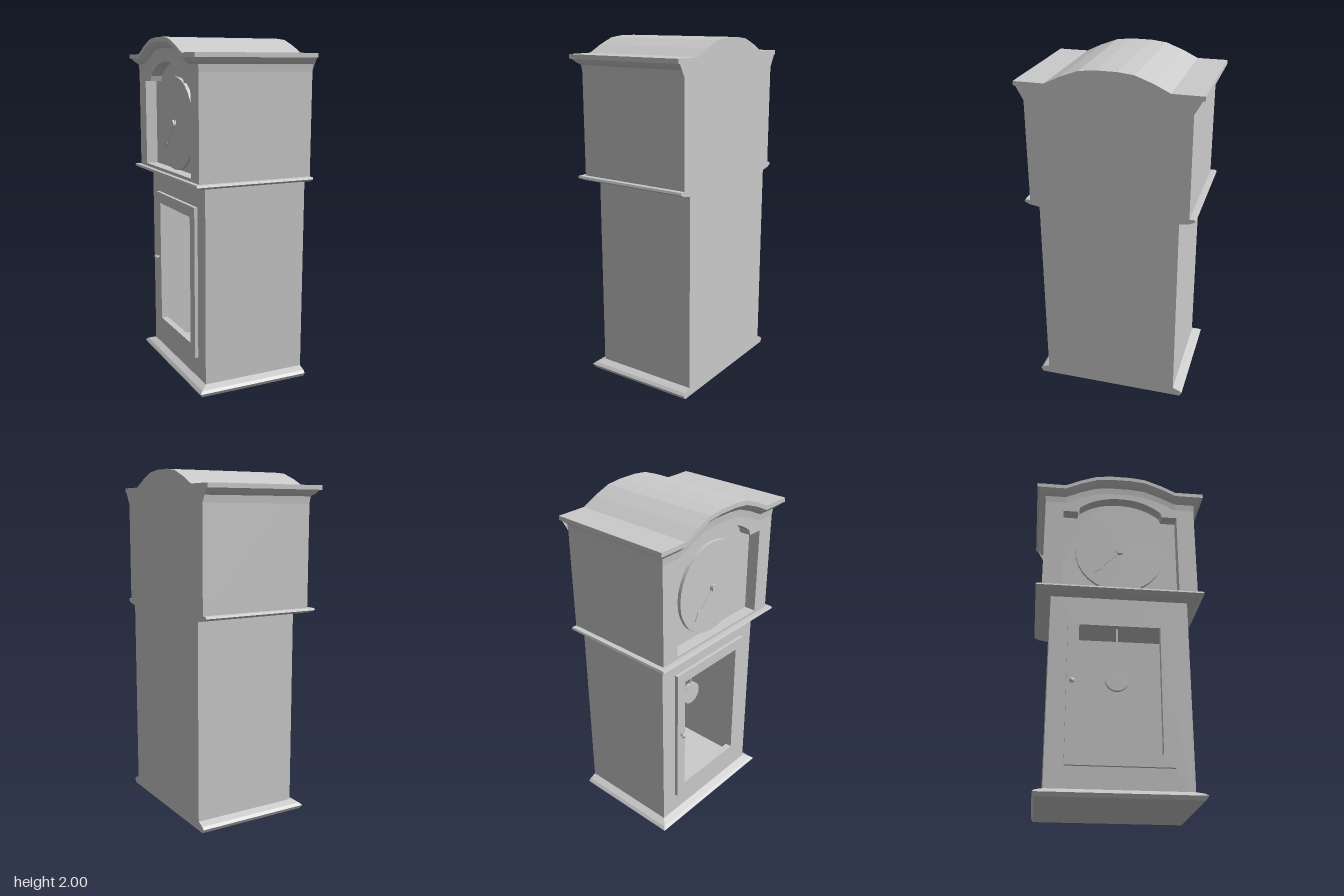
import * as THREE from 'three';

const BACK = -0.365;
const mat = new THREE.MeshStandardMaterial({ color: 0xcccccc });

// Height of the bonnet arch above its shoulders, across the width
const ARCH = [[-0.515, 0], [-0.34, 0], [-0.25, 0.043], [-0.15, 0.08], [-0.06, 0.09],
  [0.06, 0.09], [0.15, 0.08], [0.25, 0.043], [0.34, 0], [0.515, 0]];

function add(group, name, geometry, x = 0, y = 0, z = 0) {
  const mesh = new THREE.Mesh(geometry, mat);
  mesh.name = name;
  mesh.position.set(x, y, z);
  group.add(mesh);
  return mesh;
}

function polygon(points) {
  return new THREE.Shape(points.map(([x, y]) => new THREE.Vector2(x, y)));
}

function rect(hw, y0, y1) {
  return polygon([[-hw, y0], [hw, y0], [hw, y1], [-hw, y1]]);
}

// Extrude a front-on shape between two depths
function slab(shape, z0, z1, hole) {
  if (hole) shape.holes.push(hole);
  return new THREE.ExtrudeGeometry(shape, { depth: z1 - z0, bevelEnabled: false, curveSegments: 24 })
    .translate(0, 0, z0);
}

// Moulding run along both sides and the front; layers are [outward offset, height]
function moulding(hw, front, layers, arched) {
  const inner = arched ? ARCH.slice(1, -1) : [];
  const n = inner.length + 4;
  const pos = [], idx = [];
  for (const [o, y] of layers) {
    pos.push(-hw - o, y, BACK, -hw - o, y, front + o);
    for (const [x, lift] of inner) pos.push(x, y + lift, front + o);
    pos.push(hw + o, y, front + o, hw + o, y, BACK);
  }
  for (let j = 0; j < layers.length - 1; j++) {
    for (let i = 0; i < n - 1; i++) {
      const a = j * n + i, d = a + n;
      idx.push(a, a + 1, d + 1, a, d + 1, d);
    }
    // Flat ends against the back
    if (j > 0) idx.push(0, j * n, (j + 1) * n, n - 1, (j + 2) * n - 1, (j + 1) * n - 1);
  }
  const g = new THREE.BufferGeometry();
  g.setAttribute('position', new THREE.Float32BufferAttribute(pos, 3));
  g.setIndex(idx);
  const flat = g.toNonIndexed();
  flat.computeVertexNormals();
  return flat;
}

function disc(r, depth, sides = 32) {
  return new THREE.CylinderGeometry(r, r, depth, sides).rotateX(Math.PI / 2);
}

function buildTrunk() {
  const g = new THREE.Group();
  g.name = 'trunk';
  const wall = 0.02, hw = 0.405, front = 0.265, depth = front - BACK;
  for (const s of [-1, 1]) {
    add(g, 'trunkSide', new THREE.BoxGeometry(wall, 1.2, depth), s * (hw - wall / 2), 0.6, (front + BACK) / 2);
  }
  add(g, 'trunkBack', slab(rect(hw - wall, 0, 1.2), BACK, BACK + wall));
  add(g, 'trunkFloor', new THREE.BoxGeometry(2 * hw, 0.05, depth), 0, 0.025, (front + BACK) / 2);
  add(g, 'trunkFront', slab(rect(hw - wall, 0.04, 1.2), front - wall, front, rect(0.235, 0.245, 1.0)));
  add(g, 'plinthMoulding', moulding(hw, front,
    [[0, 0], [0.042, 0], [0.055, 0.022], [0.04, 0.036], [0, 0.052]]));
  add(g, 'waistMoulding', moulding(hw, front,
    [[0, 1.185], [0.06, 1.195], [0.09, 1.21], [0.085, 1.222], [0, 1.222]]));

  // Open door frame and its knob
  add(g, 'doorFrame', slab(rect(0.3, 0.175, 1.065), front, front + 0.02, rect(0.235, 0.245, 1.0)));
  const knob = new THREE.LatheGeometry([[0, 0], [0.007, 0], [0.007, 0.013], [0.015, 0.018], [0.014, 0.028], [0, 0.031]]
    .map(([r, y]) => new THREE.Vector2(r, y)), 16).rotateX(Math.PI / 2);
  add(g, 'doorKnob', knob, -0.27, 0.645, front + 0.02);

  // Pendulum hanging inside
  add(g, 'pendulumRod', new THREE.BoxGeometry(0.012, 0.48, 0.008), 0, 0.97, 0.125);
  add(g, 'pendulumBob', disc(0.07, 0.02), 0, 0.73, 0.125);
  return g;
}

function buildHood() {
  const g = new THREE.Group();
  g.name = 'hood';
  const hw = 0.46, front = 0.325, recess = 0.07;
  const bodyShape = () => polygon([[-hw, 1.2], [hw, 1.2], [hw, 1.89],
    ...ARCH.slice(1, -1).reverse().map(([x, l]) => [x, 1.89 + l]), [-hw, 1.89]]);

  // Case behind the dial, and front frame with a shouldered arch opening
  add(g, 'hoodCase', slab(bodyShape(), BACK, front - recess));
  const opening = new THREE.Path();
  opening.moveTo(-0.35, 1.24);
  opening.lineTo(0.35, 1.24);
  opening.lineTo(0.35, 1.75);
  opening.lineTo(0.26, 1.75);
  opening.lineTo(0.25, 1.78);
  opening.quadraticCurveTo(0.15, 1.865, 0, 1.865);
  opening.quadraticCurveTo(-0.15, 1.865, -0.25, 1.78);
  opening.lineTo(-0.26, 1.75);
  opening.lineTo(-0.35, 1.75);
  opening.closePath();
  add(g, 'hoodFrame', slab(bodyShape(), front - recess, front, opening));

  // Cove and arched roof
  add(g, 'corniceCove', moulding(hw, front,
    [[0, 1.81], [0.004, 1.85], [0.022, 1.864], [0.045, 1.89], [0, 1.89]], true));
  const top = ARCH.map(([x, l]) => [x, 1.91 + l]);
  const under = ARCH.map(([x, l]) => [x, 1.885 + l]);
  add(g, 'roof', slab(polygon([...under, ...top.reverse()]), BACK, 0.37));

  // Dial and hands
  const face = front - recess;
  add(g, 'dial', disc(0.27, 0.02), 0, 1.51, face + 0.01);
  add(g, 'handBoss', disc(0.022, 0.02, 16), 0, 1.51, face + 0.03);
  const hand = (length, w) => slab(polygon([[-w / 2, -0.03], [w / 2, -0.03], [w / 2, length * 0.65],
    [w * 1.3, length * 0.75], [0, length], [-w * 1.3, length * 0.75], [-w / 2, length * 0.65]]), 0, 0.005);
  add(g, 'minuteHand', hand(0.22, 0.014), 0, 1.51, face + 0.025).rotation.z = Math.PI * 0.75;
  return g;
}

export function createModel() {
  const model = new THREE.Group();
  model.name = 'longcaseClock';
  model.add(buildTrunk(), buildHood());
  // The dial side looks along -x
  model.rotation.y = -Math.PI / 2;
  const root = new THREE.Group();
  root.add(model);
  return root;
}
